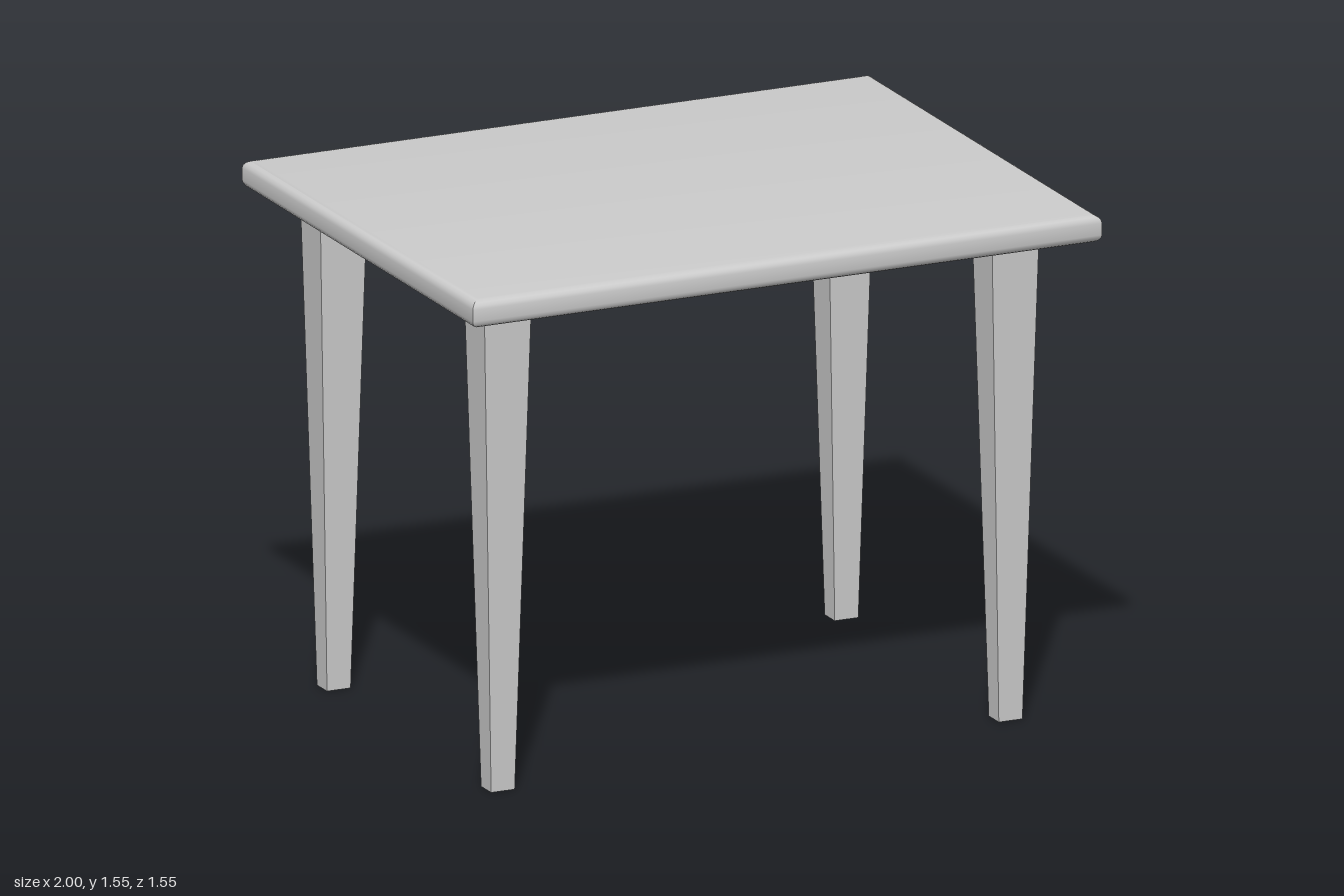
import * as THREE from 'three';
import { toCreasedNormals } from 'three/addons/utils/BufferGeometryUtils.js';

const material = new THREE.MeshStandardMaterial({ color: 0xcccccc });

// Table top: a box whose horizontal rings follow a rounded edge profile
function topGeometry(halfX, halfZ, bottom, top) {
  const rx = 0.03, ry = 0.025, steps = 4;
  const rings = []; // [inset, height] from the bottom up
  for (let i = 0; i <= steps; i++) {
    const a = (i / steps) * Math.PI / 2;
    rings.push([rx * (1 - Math.sin(a)), bottom + ry * (1 - Math.cos(a))]);
  }
  for (let i = steps; i >= 0; i--) rings.push([rings[i][0], top + bottom - rings[i][1]]);

  const n = rings.length - 1;
  const geometry = new THREE.BoxGeometry(2, 1, 2, 1, n, 1);
  const p = geometry.attributes.position;
  for (let i = 0; i < p.count; i++) {
    const [inset, y] = rings[Math.round((p.getY(i) + 0.5) * n)];
    p.setXYZ(i, p.getX(i) * (halfX - inset), y, p.getZ(i) * (halfZ - inset));
  }
  return toCreasedNormals(geometry, 0.6);
}

// Leg: a square post narrowing to half its width at the floor
function legGeometry(width, depth, height) {
  const geometry = new THREE.BoxGeometry(width, height, depth);
  geometry.translate(0, height / 2, 0);
  const p = geometry.attributes.position;
  for (let i = 0; i < p.count; i++) {
    const s = 0.5 + 0.5 * p.getY(i) / height;
    p.setX(i, p.getX(i) * s);
    p.setZ(i, p.getZ(i) * s);
  }
  return toCreasedNormals(geometry, 0.6);
}

export function createModel() {
  const table = new THREE.Group();
  table.name = 'table';

  const top = new THREE.Mesh(topGeometry(1, 0.775, 1.465, 1.55), material);
  top.name = 'tableTop';
  table.add(top);

  // Four legs, the rear pair set slightly closer to the edge
  const leg = legGeometry(0.15, 0.135, 1.47);
  for (const [end, z] of [['front', 0.537], ['back', -0.564]]) {
    for (const [side, x] of [['Left', 0.806], ['Right', -0.808]]) {
      const mesh = new THREE.Mesh(leg, material);
      mesh.name = `${end}${side}Leg`;
      mesh.position.set(x, 0, z);
      table.add(mesh);
    }
  }
  return table;
}
